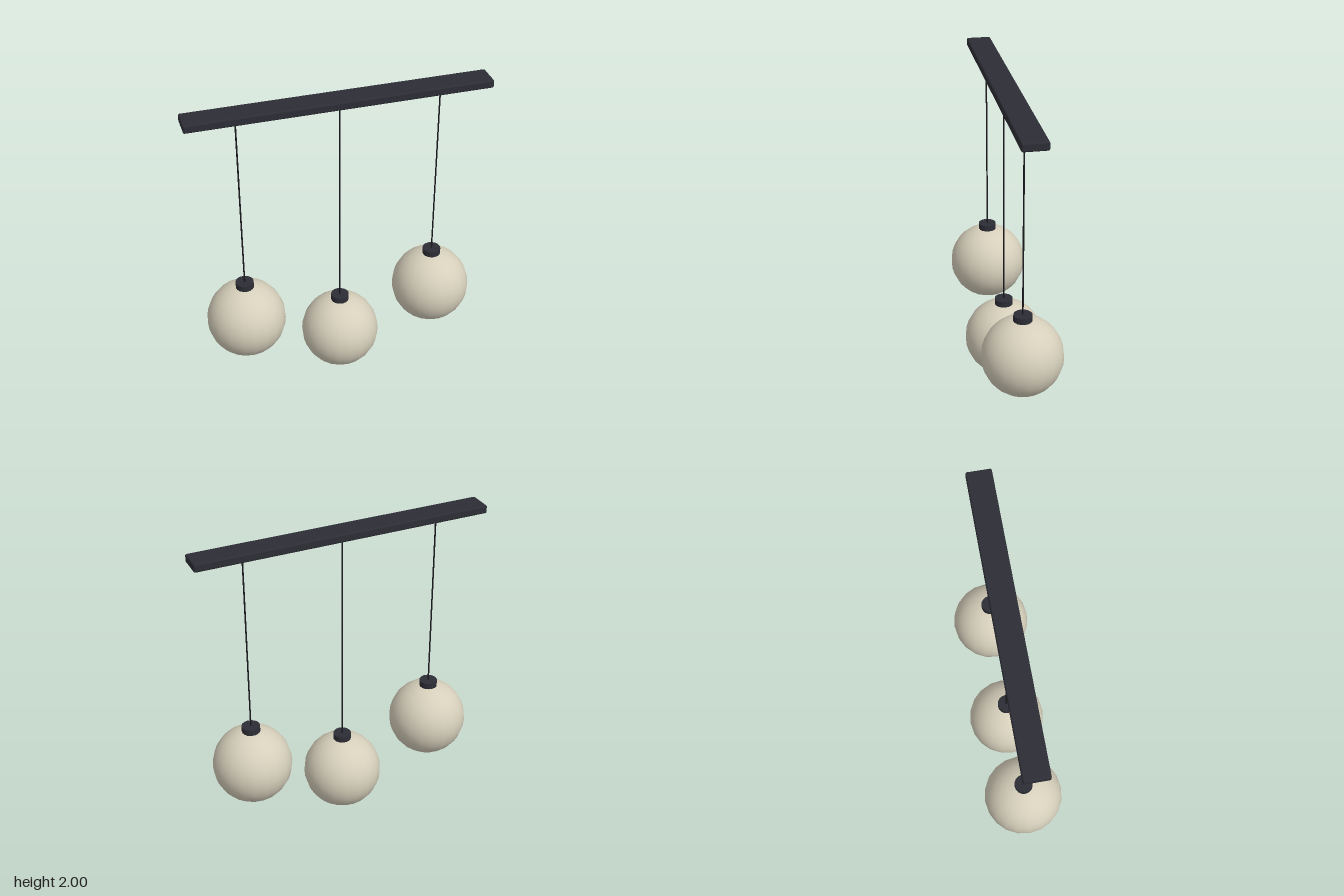
import * as THREE from 'three';
import { RoundedBoxGeometry } from 'three/addons/geometries/RoundedBoxGeometry.js';

const RADIUS = 0.2525;
const BAR_BOTTOM = 1.948;

export function createModel() {
  const material = (name, color) => {
    const m = new THREE.MeshStandardMaterial({ color });
    m.name = name;
    return m;
  };
  const darkMetal = material('dark metal', 0x2d2d36);
  const cable = material('black cable', 0x1a1a20);
  const glass = material('cream glass', 0xd6cfbb);

  const model = new THREE.Group();
  model.name = 'pendantLamp';

  const add = (parent, name, geometry, mat, y) => {
    const mesh = new THREE.Mesh(geometry, mat);
    mesh.name = name;
    mesh.position.y = y;
    parent.add(mesh);
  };

  // Ceiling bar with softened edges
  add(model, 'ceilingBar', new RoundedBoxGeometry(1.88, 0.052, 0.156, 2, 0.01), darkMetal, 1.974);

  // One pendant: globe, cap and cord up to the bar
  const addPendant = (name, x, globeY) => {
    const pendant = new THREE.Group();
    pendant.name = name;
    pendant.position.x = x;
    const capTop = globeY + 0.285;
    const cordLength = BAR_BOTTOM + 0.01 - capTop;
    add(pendant, 'globe', new THREE.SphereGeometry(RADIUS, 20, 16), glass, globeY);
    add(pendant, 'cap', new THREE.CylinderGeometry(0.058, 0.058, 0.044, 16), darkMetal, capTop - 0.022);
    add(pendant, 'cord', new THREE.CylinderGeometry(0.005, 0.005, cordLength, 8), cable, capTop + cordLength / 2);
    model.add(pendant);
  };
  addPendant('rightPendant', -0.627, 0.494);
  addPendant('middlePendant', 0, 0.2575);
  addPendant('leftPendant', 0.627, 0.494);

  // Rest the lowest globe on the ground
  model.children.forEach((part) => { if (part.name === 'middlePendant') part.position.y = RADIUS - 0.2575; });
  return model;
}
